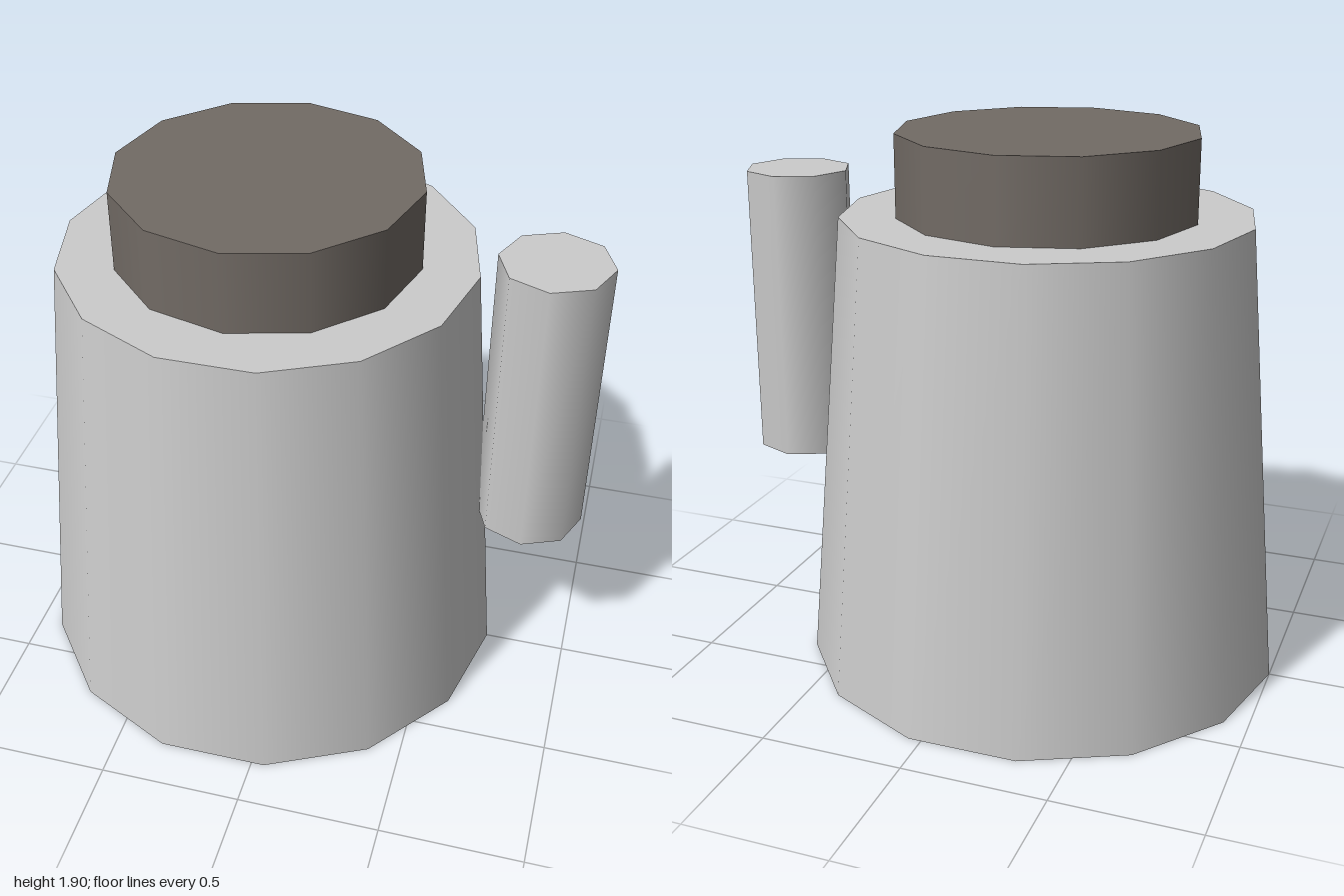
import * as THREE from 'three';

const grey = new THREE.MeshStandardMaterial({ color: 0xcccccc });
const brown = new THREE.MeshStandardMaterial({ color: 0x726b65 });

// Upright, smooth-sided drum with a corner on the +x axis
function drum(name, x, y0, y1, rBottom, rTop, sides, material) {
  const geometry = new THREE.CylinderGeometry(rTop, rBottom, y1 - y0, sides);
  geometry.rotateY(Math.PI / 2);
  const mesh = new THREE.Mesh(geometry, material);
  mesh.name = name;
  mesh.position.set(x, (y0 + y1) / 2, 0);
  return mesh;
}

export function createModel() {
  const group = new THREE.Group();
  group.name = 'jug';
  const axis = -0.145;
  group.add(
    // Tapered vessel
    drum('body', axis, 0, 1.62, 0.855, 0.715, 14, grey),
    // Dark stopper sitting on the shoulder
    drum('lid', axis, 1.62, 1.905, 0.523, 0.523, 12, brown),
    // Straight grip beside the body
    drum('handle', 0.81, 0.67, 1.715, 0.19, 0.19, 8, grey)
  );
  return group;
}
